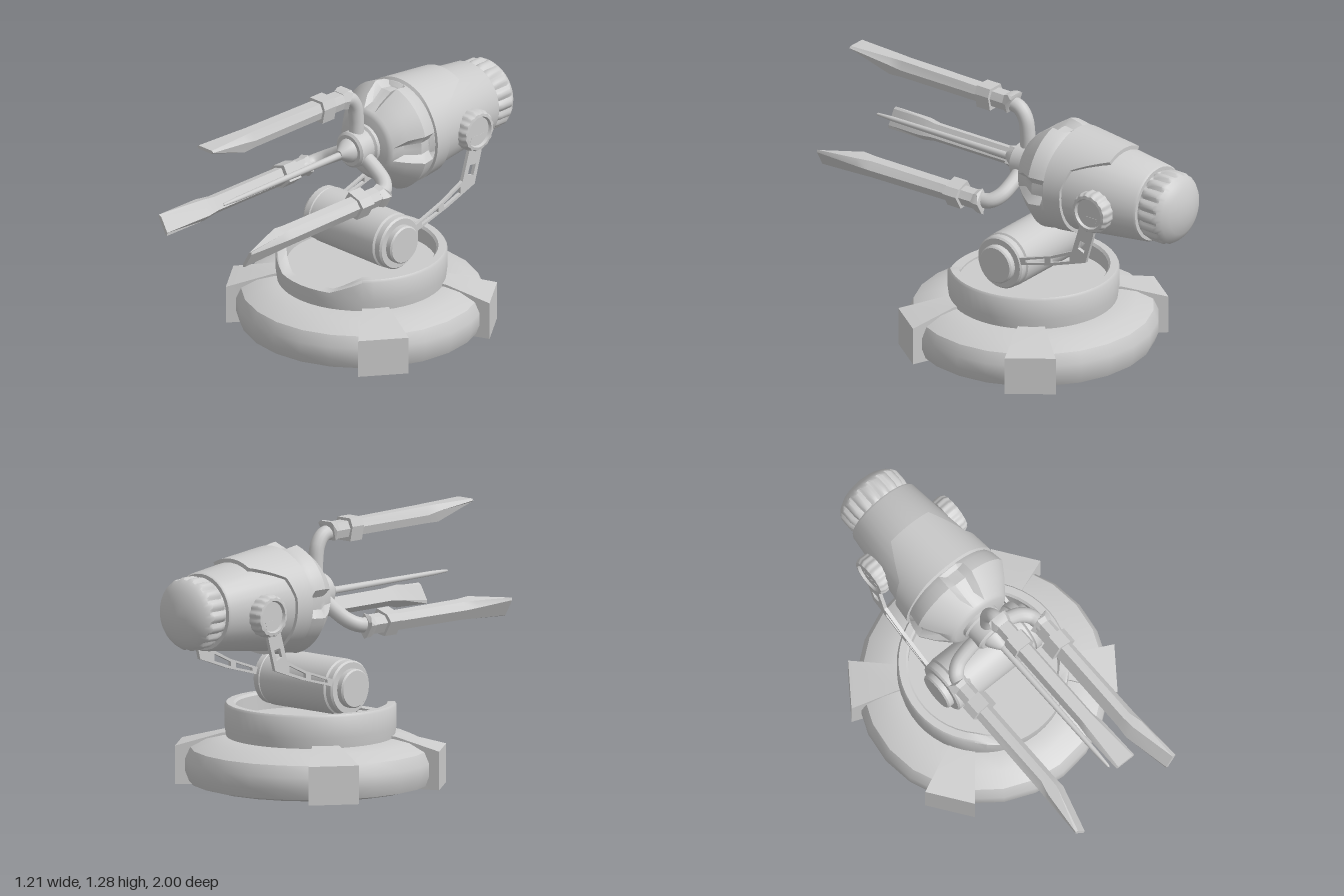
import * as THREE from 'three';
import { toCreasedNormals } from 'three/addons/utils/BufferGeometryUtils.js';

const grey = new THREE.MeshStandardMaterial({ color: 0xcccccc, side: THREE.DoubleSide });
const HEAD_Y = 0.94;   // height of the barrel axis
const BASE_Z = -0.07;  // centre of the base
const DEG = Math.PI / 180;

// Smooth normals with sharp edges (scaled up so close vertices stay apart)
function crease(geo, angle = 35) {
  const g = toCreasedNormals(geo.scale(100, 100, 100), angle * DEG);
  return g.scale(0.01, 0.01, 0.01);
}

function part(parent, name, geo, x = 0, y = 0, z = 0) {
  const mesh = new THREE.Mesh(geo, grey);
  mesh.name = name;
  mesh.position.set(x, y, z);
  parent.add(mesh);
  return mesh;
}

// Revolve [radius, height] points about y; rule(r, h, angle) may reshape each point
function revolve(profile, seg, rule) {
  const geo = new THREE.LatheGeometry(profile.map(p => new THREE.Vector2(...p)), seg);
  if (rule) {
    const pos = geo.attributes.position, n = profile.length;
    for (let i = 0; i < pos.count; i++) {
      const a = (Math.floor(i / n) % seg) / seg * Math.PI * 2;
      const [r, h] = rule(...profile[i % n], a);
      pos.setXYZ(i, r * Math.sin(a), h, r * Math.cos(a));
    }
  }
  return crease(geo);
}
// Same, with heights measured backwards along the barrel; angle 0 is up
const revolveBack = (profile, seg, rule) => revolve(profile, seg, rule).rotateX(-Math.PI / 2);

// Skin a list of equal cross-sections running along +z, with end caps
function loft(sections) {
  const n = sections[0].length, index = [], last = (sections.length - 1) * n;
  for (let i = 0; i < sections.length - 1; i++) {
    for (let j = 0; j < n; j++) {
      const a = i * n + j, b = i * n + (j + 1) % n;
      index.push(a, b, b + n, a, b + n, a + n);
    }
  }
  for (let j = 1; j < n - 1; j++) index.push(0, j + 1, j, last, last + j, last + j + 1);
  const geo = new THREE.BufferGeometry();
  geo.setAttribute('position', new THREE.Float32BufferAttribute(sections.flat(2), 3));
  geo.setIndex(index);
  return crease(geo, 30);
}

// Angle away from straight up, in degrees
const fromUp = a => Math.abs(a > Math.PI ? a - 2 * Math.PI : a) / DEG;

function buildBase(model) {
  const base = new THREE.Group();
  base.name = 'base';
  base.position.z = BASE_Z;
  model.add(base);

  part(base, 'baseDisc', revolve([[0, 0], [0.24, 0.004], [0.53, 0.015], [0.585, 0.03], [0.605, 0.08],
    [0.605, 0.14], [0.58, 0.195], [0.5, 0.235], [0.42, 0.25], [0, 0.25]], 24));

  // Four wedge feet
  const footSection = (z, w, top) => [[-w, 0.015, z], [w, 0.015, z], [w, top, z], [-w, top, z]];
  for (const angle of [54, 126, -54, -126]) {
    const foot = part(base, 'foot', loft([footSection(0.38, 0.06, 0.265), footSection(0.42, 0.068, 0.262),
      footSection(0.64, 0.123, 0.203)]));
    foot.rotation.y = angle * DEG;
  }

  // Turntable ring, its rim cut low at the front
  part(base, 'turntableRing', revolve([[0.405, 0.24], [0.413, 0.3], [0.413, 0.4], [0.405, 0.412], [0.37, 0.412],
    [0.36, 0.4], [0.36, 0.325], [0, 0.325]], 48, (r, h, a) => {
    const k = THREE.MathUtils.clamp((fromUp(a) - 22.5) / 22.5, 0, 1);
    return [r, h > 0.326 ? 0.335 + (h - 0.335) * k : h];
  }));
}

function buildDrumAndArms(model) {
  const half = [[0, 0.298], [0.088, 0.298], [0.095, 0.29], [0.095, 0.264], [0.125, 0.264], [0.133, 0.255],
    [0.133, 0.225], [0.126, 0.22], [0.137, 0.213]];
  const profile = [...half.map(([r, h]) => [r, -h]), ...half.slice().reverse()];
  part(model, 'drum', revolve(profile, 32).rotateZ(-Math.PI / 2), 0, 0.508, -0.065);

  // Bent arms with cut-outs, drawn in the side plane as [distance back, height]
  const path = (points, Type) => new Type(points.map(p => new THREE.Vector2(...p)));
  const shape = path([[0.1, 0.505], [0.19, 0.53], [0.4, 0.588], [0.582, 0.652], [0.625, 0.797], [0.65, 0.9],
    [0.56, 0.9], [0.545, 0.835], [0.5, 0.69], [0.37, 0.627], [0.19, 0.567], [0.1, 0.545]], THREE.Shape);
  shape.holes = [
    [[0.22, 0.551], [0.22, 0.565], [0.335, 0.605], [0.335, 0.581]],
    [[0.37, 0.592], [0.37, 0.614], [0.485, 0.667], [0.485, 0.632]],
    [[0.535, 0.715], [0.55, 0.76], [0.59, 0.755], [0.572, 0.7]],
  ].map(h => path(h, THREE.Path));
  const armGeo = new THREE.ExtrudeGeometry(shape, { depth: 0.018, bevelEnabled: false })
    .rotateY(Math.PI / 2).translate(-0.009, 0, 0);

  // Scalloped pivot knobs where the arms meet the head
  const knobProfile = [[0.085, 0.14], [0.09, 0.2], [0.103, 0.205], [0.105, 0.25], [0.095, 0.27], [0.078, 0.272],
    [0.072, 0.258], [0, 0.258]];
  const scallop = (r, h, a) => [r > 0.09 ? r - 0.005 * (1 + Math.cos(16 * a)) / 2 : r, h];
  for (const side of [1, -1]) {
    part(model, 'arm', armGeo, side * 0.25);
    part(model, 'pivotKnob', revolve(knobProfile, 96, scallop).rotateZ(-side * Math.PI / 2), 0, 0.92, -0.605);
  }
}

function buildHead(model) {
  const head = new THREE.Group();
  head.name = 'head';
  head.position.y = HEAD_Y;
  model.add(head);

  // Faceted front shell with four recesses
  part(head, 'frontShell', revolveBack([[0, 0.095], [0.15, 0.095], [0.165, 0.102], [0.175, 0.112], [0.225, 0.17],
    [0.272, 0.24], [0.262, 0.3], [0.25, 0.325]], 48, (r, d, a) => {
    const off = Math.abs(((a / DEG + 45) % 90) - 45);
    return [off < 10 && d > 0.13 && d < 0.31 ? r - 0.035 : r, d];
  }));

  part(head, 'body', revolveBack([[0.235, 0.3], [0.25, 0.32], [0.192, 0.815], [0.185, 0.825], [0, 0.825]], 32));

  // Collar plate reaching further back over the top
  const backEdge = deg => deg < 30 ? 0.62 : deg < 55 ? 0.62 - 0.17 * (deg - 30) / 25
    : deg < 80 ? 0.45 - 0.03 * (deg - 55) / 25 : 0.42;
  part(head, 'collarPlate', revolveBack([[0.24, 0], [0.264, 0.05], [0.264, 0.35], [0.264, 0.65], [0.264, 1], [0.235, 1]],
    72, (r, t, a) => {
      const d = 0.32 + t * (backEdge(fromUp(a)) - 0.32);
      return [r - 0.1 * (d - 0.32), d];
    }));

  // Fluted rear cap with a dome
  part(head, 'rearCap', revolveBack([[0.14, 0.815], [0.165, 0.825], [0.172, 0.835], [0.178, 0.86], [0.178, 0.92],
    [0.168, 0.937], [0.15, 0.957], [0.115, 0.978], [0.06, 0.995], [0, 1]], 108, (r, d, a) =>
    [d > 0.83 && d < 0.93 ? r - 0.013 * Math.pow((1 + Math.cos(18 * a)) / 2, 2) : r, d]));

  // Hub, nose and centre needle
  part(head, 'hub', revolveBack([[0, -0.085], [0.02, -0.085], [0.028, -0.075], [0.055, -0.035], [0.06, -0.018],
    [0.078, -0.018], [0.09, -0.008], [0.09, 0.07], [0.102, 0.078], [0.102, 0.1]], 24));
  part(head, 'needle', revolveBack([[0, -0.88], [0.007, -0.87], [0.012, -0.78], [0.018, -0.07]], 12), 0, -0.006);

  // Three prongs on bent tubes
  const curve = new THREE.CatmullRomCurve3([[0.06, -0.035], [0.15, -0.035], [0.225, -0.022], [0.272, 0.015], [0.285, 0.09]]
    .map(([r, z]) => new THREE.Vector3(0, r, z)));
  const tubeGeo = new THREE.TubeGeometry(curve, 20, 0.037, 14);
  // Prong section: z, inner radius, widest radius, outer radius, half width, half width of outer flat
  const section = (z, ri, rm, ro, w, f) => [[-0.75 * w, ri, z], [0.75 * w, ri, z], [w, rm, z], [f, ro, z], [-f, ro, z], [-w, rm, z]];
  const prongGeo = loft([
    section(0.07, 0.25, 0.29, 0.325, 0.045, 0.028),
    section(0.7, 0.25, 0.29, 0.333, 0.045, 0.028),
    section(0.77, 0.25, 0.305, 0.334, 0.055, 0.032),
    section(1, 0.318, 0.327, 0.335, 0.055, 0.045),
  ]);
  const flangeGeo = loft([section(0.035, 0.318, 0.325, 0.336, 0.05, 0.035), section(0.06, 0.243, 0.29, 0.336, 0.055, 0.035),
    section(0.085, 0.25, 0.29, 0.328, 0.045, 0.028)]);
  const clipGeo = loft([0.16, 0.24].map(z => section(z, 0.228, 0.3, 0.34, 0.058, 0.042)));
  for (let i = 0; i < 3; i++) {
    const prong = new THREE.Group();
    prong.name = 'prong';
    prong.rotation.z = i * 120 * DEG;
    head.add(prong);
    part(prong, 'prongTube', tubeGeo);
    part(prong, 'prongBlade', prongGeo);
    part(prong, 'prongFlange', flangeGeo);
    part(prong, 'prongClip', clipGeo);
  }
}

export function createModel() {
  const model = new THREE.Group();
  model.name = 'turret';
  buildBase(model);
  buildDrumAndArms(model);
  buildHead(model);
  return model;
}
